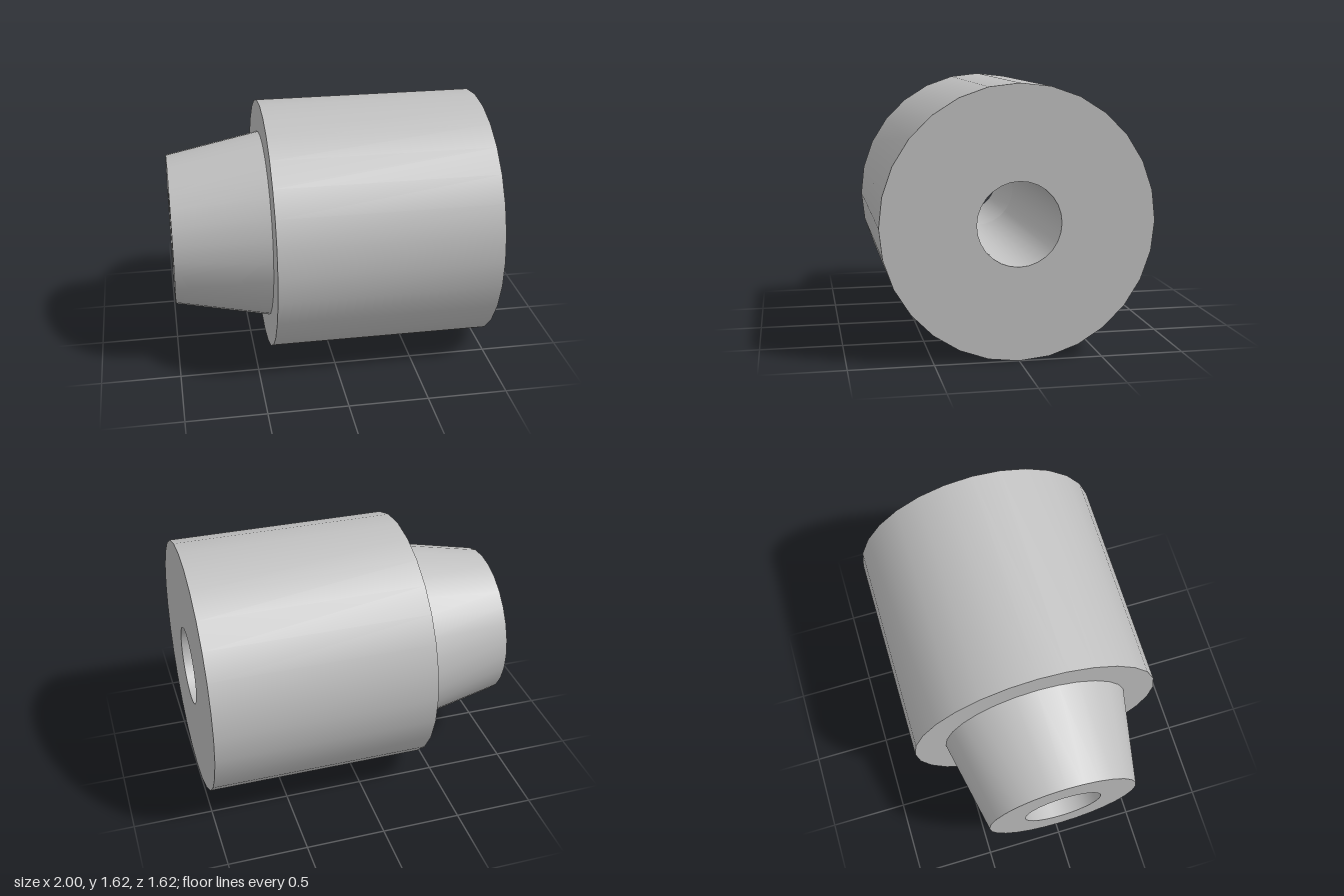
import * as THREE from 'three';
import { toCreasedNormals } from 'three/addons/utils/BufferGeometryUtils.js';

const SIDES = 28;
const RADIUS = 0.81;
const BORE = 0.25;
const STEP = -0.4; // x where the nose meets the body

// Turns a profile of [radius, x] points about the x axis
function turned(name, profile, material) {
  const points = profile.map(([r, x]) => new THREE.Vector2(r, x));
  const geometry = new THREE.LatheGeometry(points, SIDES);
  geometry.rotateZ(-Math.PI / 2);
  const mesh = new THREE.Mesh(toCreasedNormals(geometry, Math.PI / 6), material);
  mesh.name = name;
  mesh.position.y = RADIUS;
  return mesh;
}

export function createModel() {
  const group = new THREE.Group();
  group.name = 'steppedBushing';
  const grey = new THREE.MeshStandardMaterial({ color: 0xc0c0c0 });
  grey.name = 'plain grey';

  // Wide cylinder with its shoulder, end face and bore
  group.add(turned('body', [
    [0.605, STEP], [RADIUS, STEP], [RADIUS, 1], [BORE, 1], [BORE, STEP],
  ], grey));

  // Tapered nose, continuing the same bore
  group.add(turned('taperedNose', [
    [BORE, STEP], [BORE, -1], [0.485, -1], [0.605, STEP],
  ], grey));

  return group;
}
